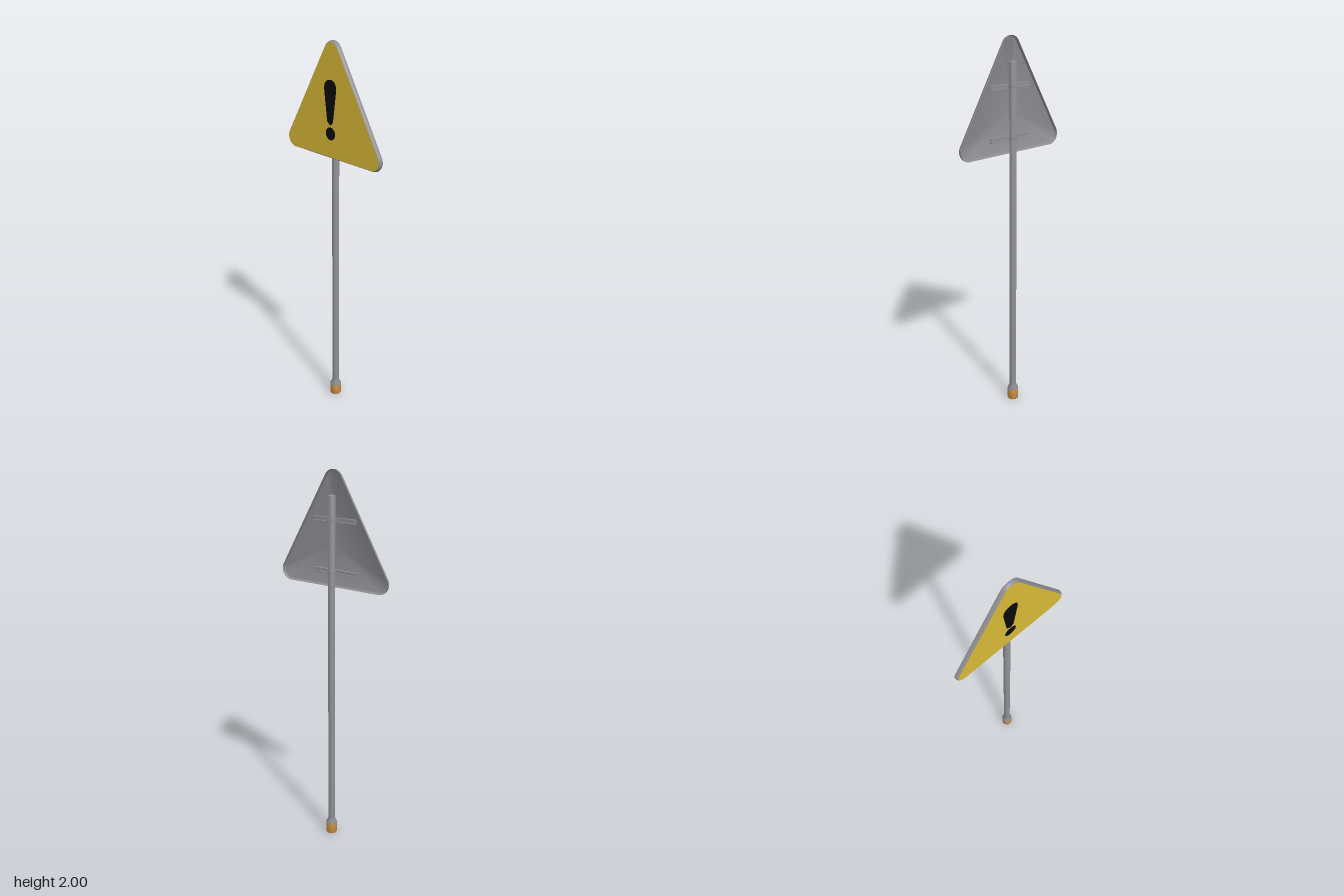
import * as THREE from 'three';
import { toCreasedNormals } from 'three/addons/utils/BufferGeometryUtils.js';

const mat = (name, color) => new THREE.MeshStandardMaterial({ name, color });

// Rounded equilateral triangle: three corner centres, corner radius r
const CY = 1.6375, SPREAD = 0.31, STEPS = 10;
function triangleRing(r) {
  const pts = [];
  for (let c = 0; c < 3; c++) {
    const mid = Math.PI / 2 + c * Math.PI * 2 / 3;
    for (let i = 0; i <= STEPS; i++) {
      const a = mid + (i / STEPS - 0.5) * Math.PI * 2 / 3;
      pts.push([SPREAD * Math.cos(mid) + r * Math.cos(a), CY + SPREAD * Math.sin(mid) + r * Math.sin(a)]);
    }
  }
  return pts;
}

// Skin through triangular rings; a null radius collapses the ring to the centre
function triangleSkin(profile) {
  const pos = [], idx = [], n = 3 * (STEPS + 1);
  for (const [r, z] of profile) {
    const ring = r === null ? Array(n).fill([0, CY]) : triangleRing(r);
    ring.forEach(([x, y]) => pos.push(x, y, z));
  }
  for (let i = 0; i < profile.length - 1; i++) {
    for (let j = 0; j < n; j++) {
      const k = (j + 1) % n;
      const a = i * n + j, b = i * n + k, c = b + n, d = a + n;
      if (profile[i][0] !== null) idx.push(a, b, c);
      if (profile[i + 1][0] !== null) idx.push(a, c, d);
    }
    // at a collapsed end ring the remaining triangle closes the fan
  }
  const g = new THREE.BufferGeometry();
  g.setAttribute('position', new THREE.Float32BufferAttribute(pos, 3));
  g.setIndex(idx);
  return toCreasedNormals(g, 0.7);
}

export function createModel() {
  const group = new THREE.Group();
  group.name = 'warningSign';
  const steel = mat('steelGrey', 0x8e8e92);
  const yellow = mat('signYellow', 0xd8b936);
  const black = mat('symbolBlack', 0x0b0b0b);
  const orange = mat('sleeveOrange', 0xd09544);

  const add = (name, geometry, material, x = 0, y = 0, z = 0, parent = group) => {
    const m = new THREE.Mesh(geometry, material);
    m.name = name;
    m.position.set(x, y, z);
    parent.add(m);
    return m;
  };
  const lathe = (pts) => toCreasedNormals(
    new THREE.LatheGeometry(pts.map(([r, y]) => new THREE.Vector2(r, y)), 32), 0.6);

  // Pole with chamfered cap and flared foot
  add('pole', lathe([[0.03, 0.06], [0.029, 0.066], [0.0185, 0.088], [0.018, 0.1],
    [0.018, 1.877], [0.016, 1.88], [0, 1.88]]), steel);
  // Ground sleeve
  add('groundSleeve', lathe([[0.0285, 0], [0.03, 0.003], [0.03, 0.06]]), orange);
  add('sleeveBottom', lathe([[0, 0], [0.0285, 0]]), steel);

  // Hollow pressed panel: back skin, open lip, curved outer edge
  add('panelShell', triangleSkin([[null, 0.027], [0.042, 0.027], [0.048, 0.024], [0.0505, 0.018],
    [0.0515, 0.01], [0.0525, 0.01], [0.0523, 0.016], [0.051, 0.022], [0.0485, 0.027], [0.045, 0.03]]), steel);
  add('panelFace', triangleSkin([[0.045, 0.03], [null, 0.03]]), yellow);

  // Exclamation mark: tapered stroke and dot
  const mark = new THREE.Group();
  mark.name = 'exclamationMark';
  mark.position.set(-0.005, 0, 0.0302);
  group.add(mark);
  const stroke = new THREE.Shape();
  stroke.moveTo(0, 1.598);
  stroke.lineTo(0.017, 1.615);
  stroke.lineTo(0.038, 1.765);
  stroke.bezierCurveTo(0.042, 1.8, 0.028, 1.819, 0, 1.819);
  stroke.bezierCurveTo(-0.028, 1.819, -0.045, 1.8, -0.041, 1.765);
  stroke.lineTo(-0.022, 1.615);
  stroke.closePath();
  const thin = { depth: 0.0008, bevelEnabled: false, curveSegments: 8 };
  add('markStroke', new THREE.ExtrudeGeometry(stroke, thin), black, 0, 0, 0, mark);
  const dot = new THREE.Shape().absarc(0, 0, 0.032, 0, Math.PI * 2, false);
  add('markDot', new THREE.ExtrudeGeometry(dot, thin), black, 0, 1.557, 0, mark);

  // Mounting rails behind the panel, each clamped round the pole
  for (const y of [1.76, 1.505]) {
    const rail = new THREE.Group();
    rail.name = 'mountingRail';
    rail.position.y = y;
    group.add(rail);
    for (const s of [-1, 1]) {
      add('railFlange', new THREE.BoxGeometry(0.25, 0.005, 0.014), steel, 0, s * 0.009, 0.02, rail);
    }
    add('railWeb', new THREE.BoxGeometry(0.25, 0.018, 0.003), steel, 0, 0, 0.0255, rail);
    add('poleClamp', lathe([[0.018, -0.006], [0.0205, -0.006], [0.0205, 0.006], [0.018, 0.006]]), steel, 0, 0, 0, rail);
  }
  return group;
}
